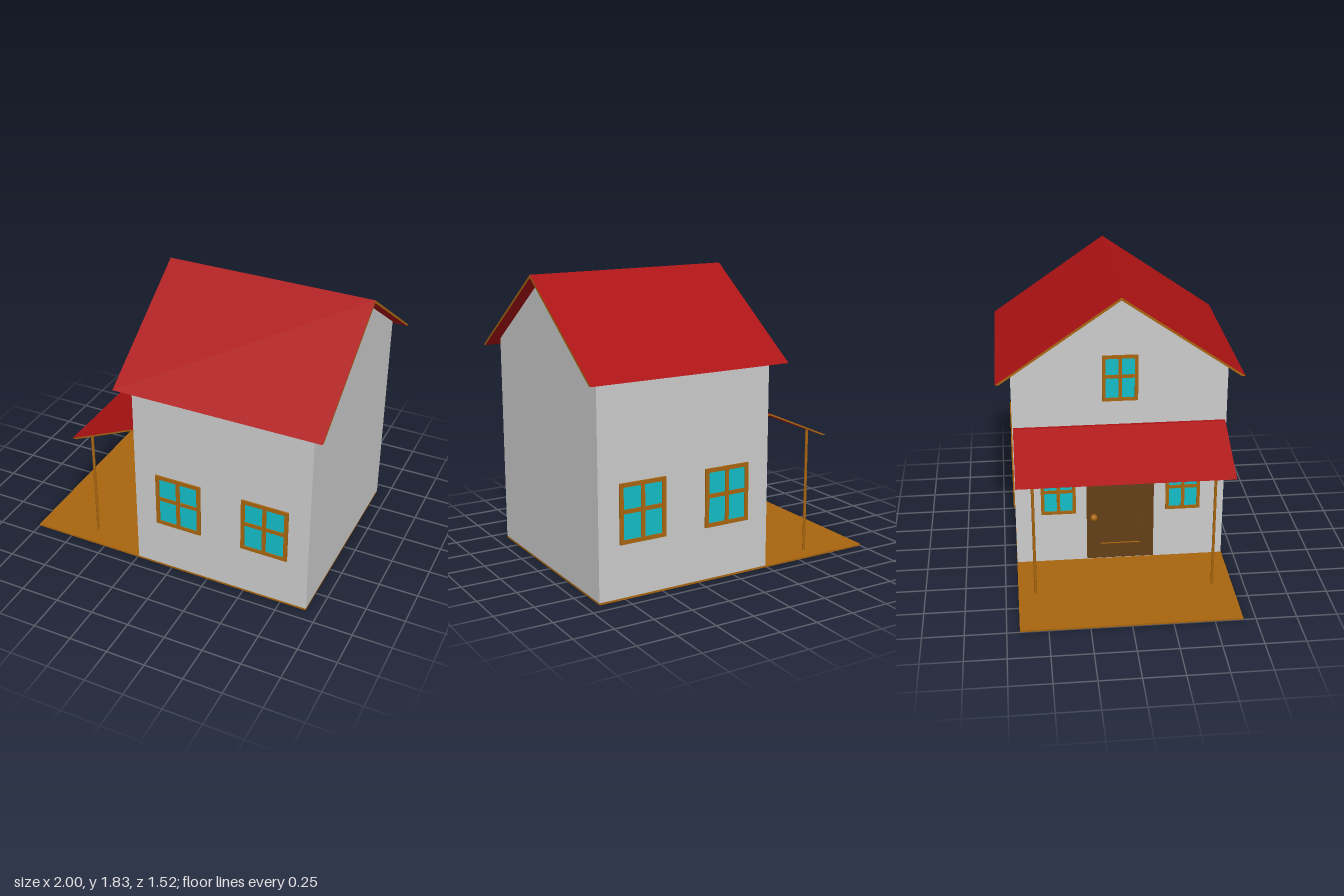
import * as THREE from 'three';

const mat = (color) => new THREE.MeshStandardMaterial({ color, flatShading: true });
const wallMat = mat(0xcccccc), red = mat(0xac1213), wood = mat(0xa8650f);
const darkWood = mat(0x643f17), glassMat = mat(0x13bdc8);

const shapeOf = (pts) => new THREE.Shape(pts.map(([x, y]) => new THREE.Vector2(x, y)));
const rect = (x0, y0, x1, y1) => [[x0, y0], [x1, y0], [x1, y1], [x0, y1]];

// Extrusion with separate cap and side materials
function extruded(name, shape, depth, caps, sides = caps) {
  const geo = new THREE.ExtrudeGeometry(shape, { depth, bevelEnabled: false });
  const mesh = new THREE.Mesh(geo, [caps, sides]);
  mesh.name = name;
  return mesh;
}

// Four-pane window in the xy plane, back at z = 0, facing +z
function makeWindow(name, w, h) {
  const g = new THREE.Group();
  g.name = name;
  const f = 0.025 * (w / 0.305) ** 0.5, bar = f / 2, midY = 0.012;
  const X = w / 2, Y = h / 2;
  const frame = shapeOf(rect(-X, -Y, X, Y));
  for (const [x0, x1] of [[-X + f, -bar], [bar, X - f]])
    for (const [y0, y1] of [[-Y + f, midY - bar], [midY + bar, Y - f]])
      frame.holes.push(shapeOf(rect(x0, y0, x1, y1)));
  const glass = new THREE.Mesh(new THREE.PlaneGeometry(w - f, h - f), glassMat);
  glass.name = 'glass';
  glass.position.z = 0.004;
  g.add(extruded('windowFrame', frame, 0.01, wood), glass);
  return g;
}

export function createModel() {
  const model = new THREE.Group();
  model.name = 'house';

  // Ground slab, reaching out under the porch
  const floor = new THREE.Mesh(new THREE.BoxGeometry(1.92, 0.012, 1.344), wood);
  floor.name = 'floor';
  floor.position.set(-0.04, 0.006, 0);
  model.add(floor);

  // Gabled body: section drawn across z, extruded along x
  const walls = extruded('walls', shapeOf([
    [-0.67, 0.012], [0.67, 0.012], [0.67, 1.355], [0, 1.815], [-0.67, 1.355],
  ]), 1.16, wallMat);
  walls.rotation.y = Math.PI / 2;
  walls.position.x = -0.24;
  model.add(walls);

  // Main roof: thin inverted V with level-cut eaves
  const roof = extruded('mainRoof', shapeOf([
    [-0.762, 1.303], [-0.738, 1.303], [0, 1.812], [0.738, 1.303], [0.762, 1.303], [0, 1.83],
  ]), 1.313, wood, red);
  roof.rotation.y = Math.PI / 2;
  roof.position.x = -0.315;
  model.add(roof);

  // Porch roof: sloping slab with a short level piece at the wall
  const porchRoof = extruded('porchRoof', shapeOf([
    [-0.69, 0.792], [-0.665, 0.792], [-0.262, 0.969], [-0.24, 0.969], [-0.24, 0.98], [-0.262, 0.98],
  ]), 1.325, wood, red);
  porchRoof.position.z = -0.665;
  model.add(porchRoof);

  // Porch posts
  for (const z of [0.545, -0.565]) {
    const post = new THREE.Mesh(new THREE.CylinderGeometry(0.009, 0.009, 0.815, 16), wood);
    post.name = 'porchPost';
    post.position.set(-0.617, 0.4085, z);
    model.add(post);
  }

  // Front and back windows
  for (const side of [1, -1])
    for (const x of [0.057, 0.633]) {
      const win = makeWindow(side > 0 ? 'frontWindow' : 'backWindow', 0.305, 0.365);
      win.position.set(x, 0.522, 0.67 * side);
      if (side < 0) win.rotation.y = Math.PI;
      model.add(win);
    }

  // Porch-side windows and the attic window
  for (const [name, y, z] of [['porchWindow', 0.51, 0.405], ['porchWindow', 0.51, -0.395], ['atticWindow', 1.29, 0]]) {
    const win = makeWindow(name, 0.222, 0.3);
    win.position.set(-0.24, y, z);
    win.rotation.y = -Math.PI / 2;
    model.add(win);
  }

  // Door with a recessed panel and a round knob
  const door = new THREE.Group();
  door.name = 'door';
  const leaf = shapeOf(rect(-0.215, 0.03, 0.215, 0.68));
  leaf.holes.push(shapeOf(rect(-0.13, 0.135, 0.13, 0.58)));
  const panel = new THREE.Mesh(new THREE.PlaneGeometry(0.26, 0.445), darkWood);
  panel.name = 'doorPanel';
  panel.position.set(0, 0.3575, 0.013);
  const knobMat = wood.clone();
  knobMat.flatShading = false;
  const knob = new THREE.Mesh(new THREE.SphereGeometry(0.023, 24, 16), knobMat);
  knob.name = 'doorKnob';
  knob.position.set(-0.172, 0.343, 0.045);
  door.add(extruded('doorLeaf', leaf, 0.025, darkWood, wood), panel, knob);
  door.rotation.y = -Math.PI / 2;
  door.position.x = -0.24;
  model.add(door);

  return model;
}
